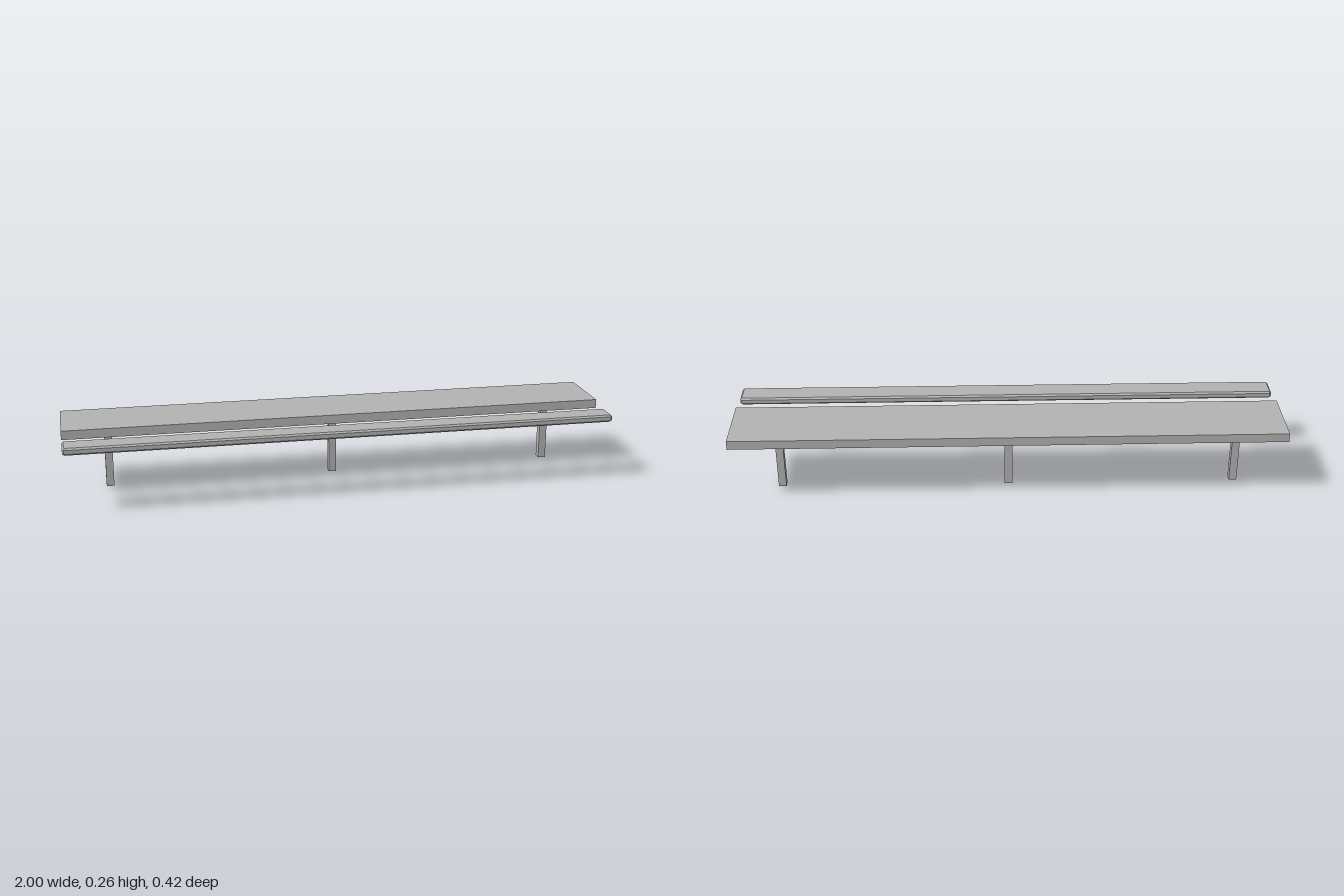
import * as THREE from 'three';

export function createModel() {
  const model = new THREE.Group();
  const grey = new THREE.MeshStandardMaterial({ color: 0xb2b2b2, flatShading: true });
  grey.name = 'grey';

  const add = (name, geometry, x, y, z) => {
    const mesh = new THREE.Mesh(geometry, grey);
    mesh.name = name;
    mesh.position.set(x, y, z);
    model.add(mesh);
  };

  // Wide flat plank
  add('plank', new THREE.BoxGeometry(2, 0.033, 0.247), 0, 0.241, -0.086);

  // Three square posts under the plank
  const postHeight = 0.225;
  const post = new THREE.BoxGeometry(0.028, postHeight, 0.028);
  [['leftPost', 0.833], ['middlePost', 0], ['rightPost', -0.833]].forEach(([name, x]) =>
    add(name, post, x, postHeight / 2, -0.086));

  // Narrow front rail, chamfered on every edge
  const halfX = 0.998, halfZ = 0.0443, height = 0.0265, c = 0.006;
  const plan = new THREE.Shape([
    [halfX - c, -halfZ], [halfX, -halfZ + c], [halfX, halfZ - c], [halfX - c, halfZ],
    [-halfX + c, halfZ], [-halfX, halfZ - c], [-halfX, -halfZ + c], [-halfX + c, -halfZ],
  ].map(([x, y]) => new THREE.Vector2(x, y)));
  const rail = new THREE.ExtrudeGeometry(plan, {
    depth: height - 2 * c, bevelEnabled: true, bevelSegments: 1,
    bevelThickness: c, bevelSize: c, bevelOffset: -c,
  });
  rail.rotateX(-Math.PI / 2);
  rail.center();
  add('frontRail', rail, 0, 0.235, 0.1655);

  return model;
}
